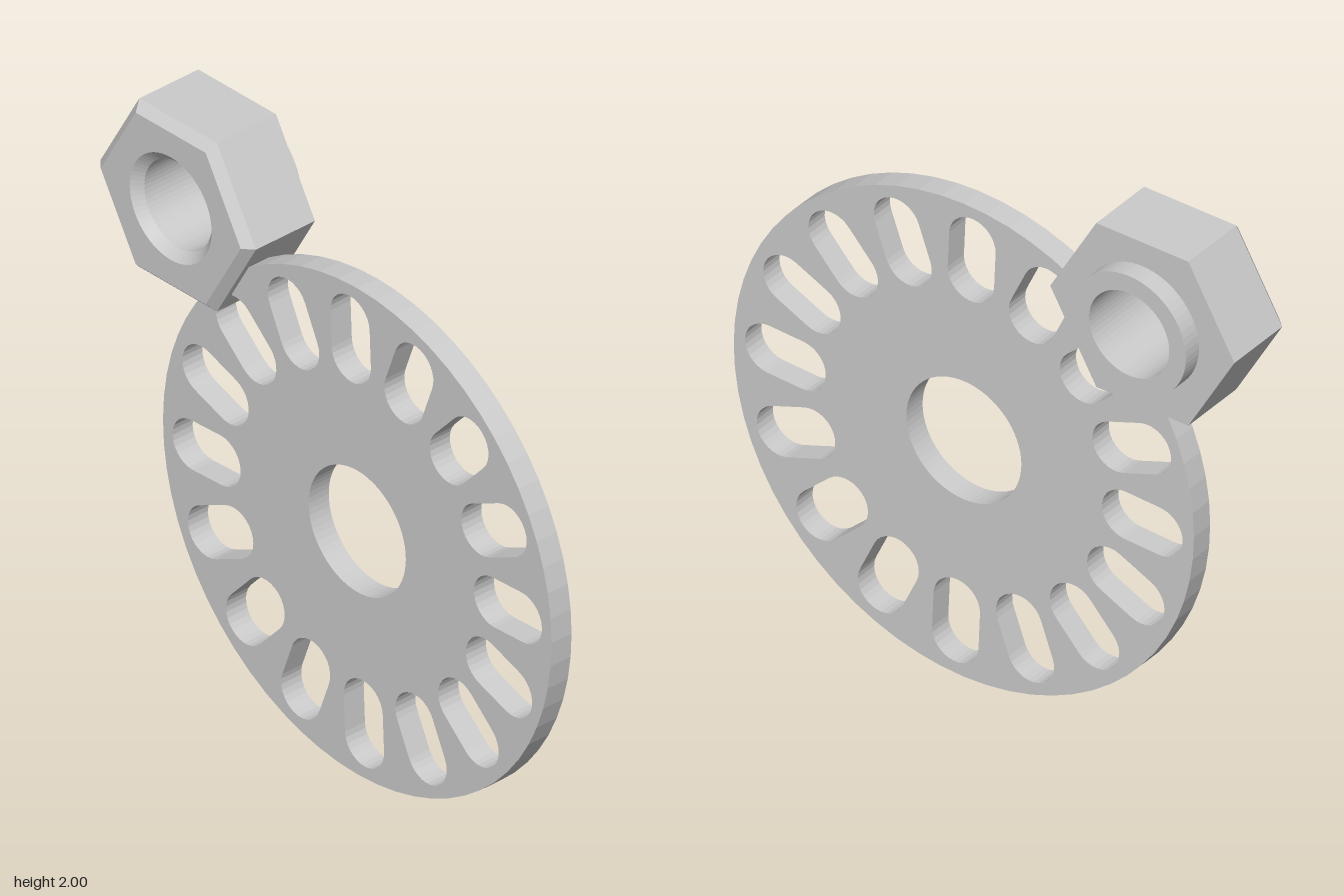
import * as THREE from 'three';

const material = new THREE.MeshStandardMaterial({ color: 0xcccccc });

// Points of an arc around (cx, cy)
function arc(cx, cy, r, from, to, steps) {
  return Array.from({ length: steps + 1 }, (_, i) => {
    const a = from + ((to - from) * i) / steps;
    return new THREE.Vector2(cx + r * Math.cos(a), cy + r * Math.sin(a));
  });
}

function circle(r, steps) {
  return arc(0, 0, r, 0, Math.PI * 2, steps).slice(0, -1);
}

// Flat plate with a centre bore and a ring of radial rounded slots
function slottedDisc() {
  const slots = 16, slotR = 0.088, inner = 0.612, outer = 0.742;
  const shape = new THREE.Shape(circle(0.872, 64));
  shape.holes.push(new THREE.Path(circle(0.218, 64)));
  for (let i = 0; i < slots; i++) {
    const turn = THREE.MathUtils.degToRad(2.5) + (i * Math.PI * 2) / slots;
    const outline = [
      ...arc(outer, 0, slotR, -Math.PI / 2, Math.PI / 2, 14),
      ...arc(inner, 0, slotR, Math.PI / 2, Math.PI * 1.5, 14),
    ].map((p) => p.rotateAround(new THREE.Vector2(), turn));
    shape.holes.push(new THREE.Path(outline));
  }
  const geometry = new THREE.ExtrudeGeometry(shape, { depth: 0.083, bevelEnabled: false });
  const mesh = new THREE.Mesh(geometry, material);
  mesh.name = 'slottedDisc';
  mesh.position.set(0.128, 0.872, 0.034);
  return mesh;
}

// Hexagonal nut: a closed loft through round and hexagonal rings
function hexNut() {
  const sides = 60, sector = Math.PI / 3;
  const rings = [
    { r: 0.152, z: -0.171 }, // back of the bore
    { r: 0.215, z: -0.171 }, // collar
    { r: 0.215, z: -0.104 },
    { r: 0.349, z: -0.104, hex: true }, // hexagonal body
    { r: 0.349, z: 0.14, hex: true },
    { r: 0.314, z: 0.171, hex: true }, // front chamfer
    { r: 0.184, z: 0.171 }, // countersink
    { r: 0.152, z: 0.14 },
  ];
  const positions = [], index = [];
  rings.forEach(({ r, z, hex }, k) => {
    const next = (k + 1) % rings.length;
    for (let i = 0; i < sides; i++) {
      const a = (i / sides) * Math.PI * 2;
      const flat = Math.cos(sector / 2) / Math.cos((a % sector) - sector / 2);
      // Guard against the angle wrapping just short of a corner
      const d = hex ? r * (i % (sides / 6) === 0 ? 1 : flat) : r;
      positions.push(d * Math.cos(a), d * Math.sin(a), z);
      const j = (i + 1) % sides;
      const p = k * sides + i, q = k * sides + j;
      const s = next * sides + i, t = next * sides + j;
      index.push(p, q, t, p, t, s);
    }
  });
  let geometry = new THREE.BufferGeometry();
  geometry.setAttribute('position', new THREE.Float32BufferAttribute(positions, 3));
  geometry.setIndex(index);
  geometry = geometry.toNonIndexed();
  geometry.computeVertexNormals();
  const mesh = new THREE.Mesh(geometry, material);
  mesh.name = 'hexNut';
  mesh.position.set(-0.651, 1.694, 0);
  return mesh;
}

export function createModel() {
  const model = new THREE.Group();
  model.name = 'discAndNut';
  model.add(slottedDisc(), hexNut());
  return model;
}
